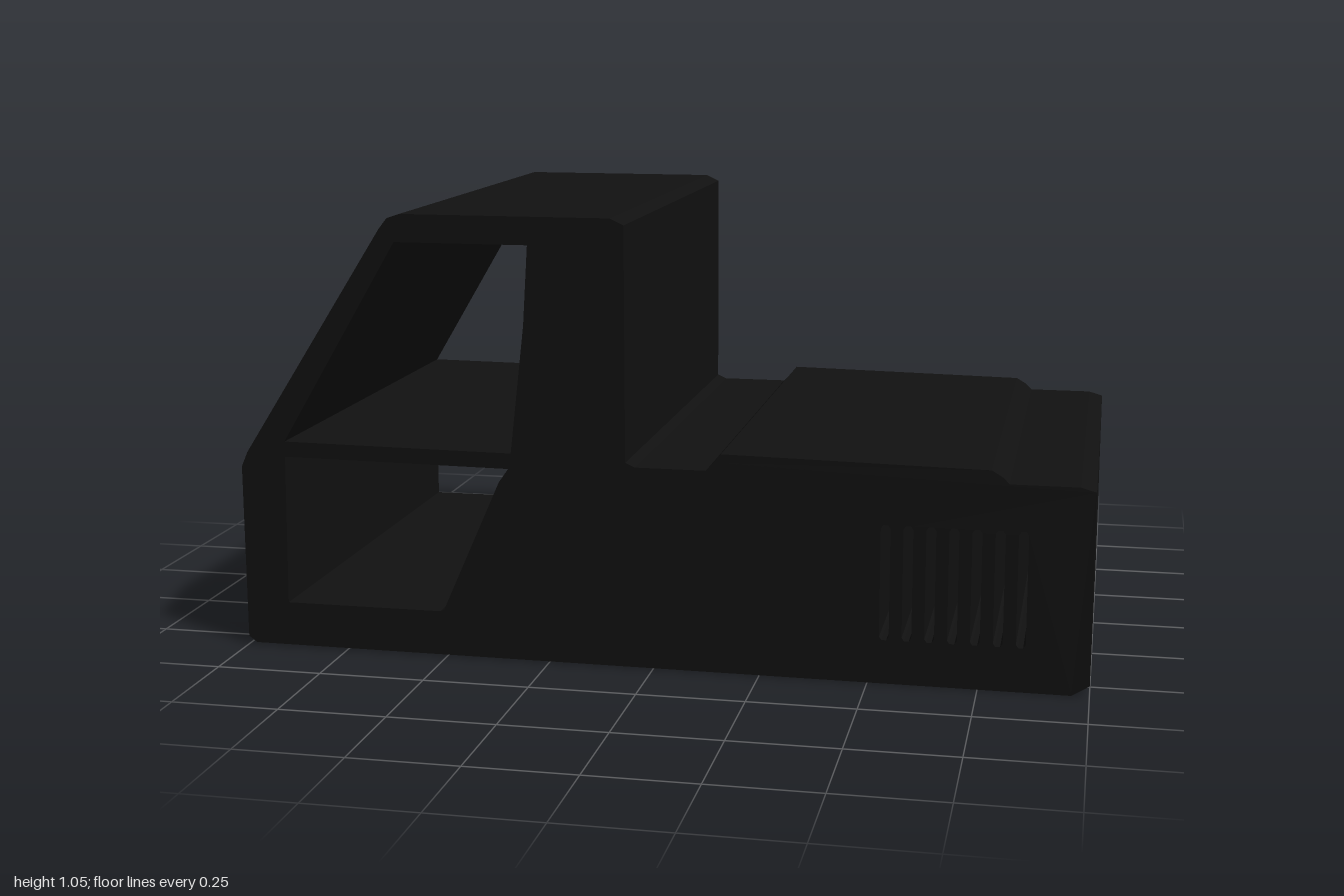
import * as THREE from 'three';

const DEPTH = 1.14;
const points = (list) => list.map(([x, y]) => new THREE.Vector2(x, y));

export function createModel() {
  const group = new THREE.Group();
  group.name = 'cabBody';

  // side profile: chamfered base, engine deck with raised hood, tall cab with raked windscreen
  const profile = new THREE.Shape(points([
    [-0.98, 0.005], [0.96, 0], [1, 0.025], [1, 0.47], [0.965, 0.48],
    [0.81, 0.48], [0.795, 0.495], [0.77, 0.51], [0.16, 0.52], [0.145, 0.5], [0.125, 0.48],
    [-0.04, 0.48], [-0.063, 0.49], [-0.063, 1.035], [-0.095, 1.05],
    [-0.59, 1.05], [-0.62, 1.04], [-0.64, 1.015],
    [-0.985, 0.475], [-1, 0.44], [-1, 0.02],
  ]));

  // upper and lower door openings
  const upperWindow = [
    [-0.89, 0.505], [-0.605, 0.985], [-0.288, 0.985], [-0.3, 0.8], [-0.335, 0.5],
  ];
  const lowerWindow = [
    [-0.895, 0.11], [-0.89, 0.468], [-0.342, 0.463], [-0.365, 0.43], [-0.505, 0.115], [-0.515, 0.11],
  ];
  for (const opening of [upperWindow, lowerWindow]) {
    profile.holes.push(new THREE.Path(points(opening)));
  }

  // row of seven vent slots with softened ends
  for (let i = 0; i < 7; i++) {
    const x = 0.537 + i * 0.0513, w = 0.011;
    profile.holes.push(new THREE.Path(points([
      [x - w, 0.112], [x - w, 0.365], [x - w / 2, 0.373], [x + w / 2, 0.373],
      [x + w, 0.365], [x + w, 0.112], [x + w / 2, 0.104], [x - w / 2, 0.104],
    ])));
  }

  const geometry = new THREE.ExtrudeGeometry(profile, { depth: DEPTH, bevelEnabled: false });
  geometry.translate(0, 0, -DEPTH / 2);
  const body = new THREE.Mesh(geometry, new THREE.MeshStandardMaterial({ color: 0x111111 }));
  body.name = 'bodyShell';
  group.add(body);
  return group;
}
